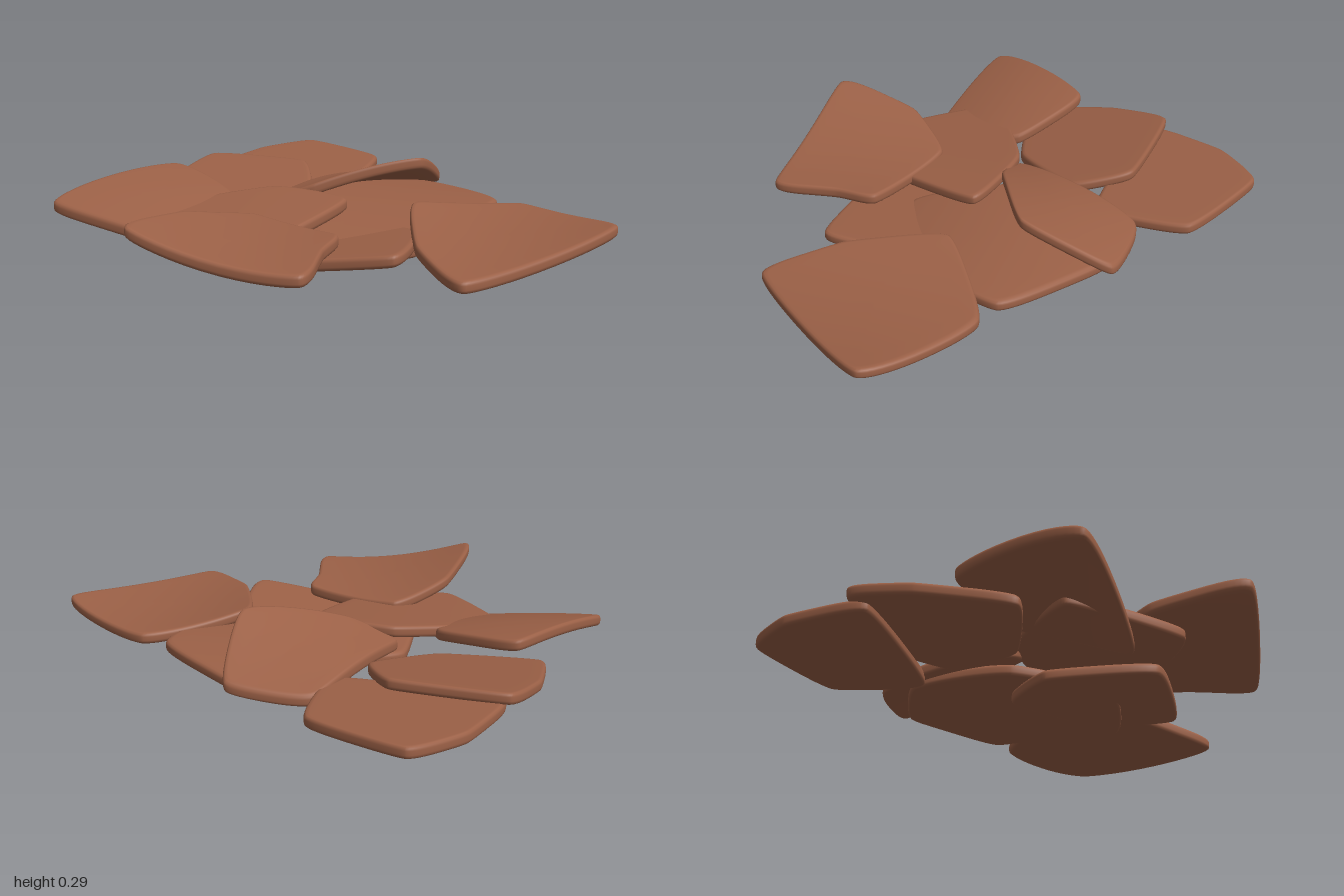
import * as THREE from 'three';
import { mergeVertices } from 'three/addons/utils/BufferGeometryUtils.js';

const HALF = 0.022; // half the slab thickness

// Cuts the corners of a closed outline of [x, z] points.
function cutCorners(points, ratio) {
  return points.flatMap((p, i) => {
    const q = points[(i + 1) % points.length];
    return [ratio, 1 - ratio].map((t) => p.map((v, k) => v + (q[k] - v) * t));
  });
}

// Warped stone slab. Corners run clockwise as seen from above; the warp gives the
// middle height, the slopes and curls along x and z, and the twist.
function slabGeometry(corners, { y, slopeX = 0, slopeZ = 0, curlX = 0, curlZ = 0, twist = 0 }) {
  const [cx, cz] = [0, 1].map((k) => corners.reduce((s, p) => s + p[k], 0) / corners.length);
  let outline = cutCorners(corners, 0.1);
  for (let i = 0; i < 3; i++) outline = cutCorners(outline, 0.25);

  // Cross-section from the middle of the underside, round the rim, to the middle of the top.
  const top = [[1, 0.35], [0.994, 0.7], [0.975, 0.95], [0.94, 1]];
  for (let i = 4; i >= 0; i--) top.push([i / 5, 1]);
  const section = [...top.map(([t, h]) => [t, -h]).reverse(), ...top];

  const n = outline.length, positions = [], index = [];
  section.forEach(([t, h], r) => {
    outline.forEach(([px, pz], i) => {
      const x = (px - cx) * t * 1.03, z = (pz - cz) * t * 1.03;
      const height = y + slopeX * x + slopeZ * z + curlX * x * x + curlZ * z * z + twist * x * z;
      positions.push(cx + x, height + h * HALF, cz + z);
      if (r === section.length - 1) return;
      const j = (i + 1) % n, p = r * n, q = p + n;
      if (t > 0) index.push(p + i, q + i, p + j);
      if (section[r + 1][0] > 0) index.push(p + j, q + i, q + j);
    });
  });
  const geometry = new THREE.BufferGeometry();
  geometry.setAttribute('position', new THREE.Float32BufferAttribute(positions, 3));
  geometry.setIndex(index);
  const welded = mergeVertices(geometry, 1e-5);
  welded.computeVertexNormals();
  return welded;
}

export function createModel() {
  const stone = new THREE.MeshStandardMaterial({ color: 0x9c6147 });
  stone.name = 'reddishBrownStone';
  const model = new THREE.Group();
  model.name = 'stoneSlabs';

  function addSlab(name, corners, warp) {
    const slab = new THREE.Mesh(slabGeometry(corners, warp), stone);
    slab.name = name;
    model.add(slab);
  }

  // Slabs at the back and left
  addSlab('backSlab',
    [[-0.47, -0.87], [-0.1, -0.71], [-0.11, -0.33], [-0.74, -0.37], [-0.63, -0.7]],
    { y: 0.145, slopeZ: -0.07 });
  addSlab('leftMiddleSlab',
    [[-0.75, -0.45], [-0.32, -0.43], [-0.22, -0.22], [-0.43, 0.06], [-0.82, 0.15], [-0.82, -0.2]],
    { y: 0.12, slopeX: 0.02, slopeZ: -0.22 });
  addSlab('leftFrontSlab',
    [[-1.04, 0.39], [-0.73, -0.11], [-0.42, 0.06], [-0.36, 0.46]],
    { y: 0.165, slopeX: -0.12, slopeZ: -0.22, curlX: -0.1, curlZ: -0.35 });

  // Slabs in the middle
  addSlab('lowFrontSlab',
    [[-0.28, 0.53], [-0.3, 0.12], [-0.05, -0.05], [0.35, 0.2], [0.38, 0.53]],
    { y: 0.075, slopeX: 0.14 });
  addSlab('rightMiddleSlab',
    [[0.16, -0.48], [0.54, -0.22], [0.36, 0.3], [0, 0.34], [-0.15, -0.02], [-0.1, -0.4]],
    { y: 0.14, slopeZ: -0.06, curlZ: -0.25 });
  addSlab('tiltedTopSlab',
    [[-0.1, -0.525], [0.22, -0.525], [0.25, -0.18], [-0.12, 0.02], [-0.3, 0.02]],
    { y: 0.205, slopeX: 0.25, slopeZ: 0.2, curlZ: -0.2, twist: 0.6 });
  addSlab('centreFrontSlab',
    [[-0.27, 0], [0.05, 0.06], [-0.1, 0.5], [-0.4, 0.63], [-0.67, 0.25]],
    { y: 0.14, slopeX: 0.03, slopeZ: -0.14, curlX: -0.06 });

  // Slabs at the front and right
  addSlab('frontSlab',
    [[-0.23, 0.3], [0.14, 0.43], [0.13, 0.58], [0.18, 0.84], [-0.46, 0.86], [-0.4, 0.5]],
    { y: 0.145, slopeX: -0.1, curlX: 0.35, twist: -0.2 });
  addSlab('rightSlab',
    [[0.62, -0.2], [1.035, 0.06], [0.61, 0.66], [0.4, 0.42], [0.27, 0.06]],
    { y: 0.125, slopeX: -0.06, slopeZ: -0.06, curlX: 0.35 });

  return model;
}
